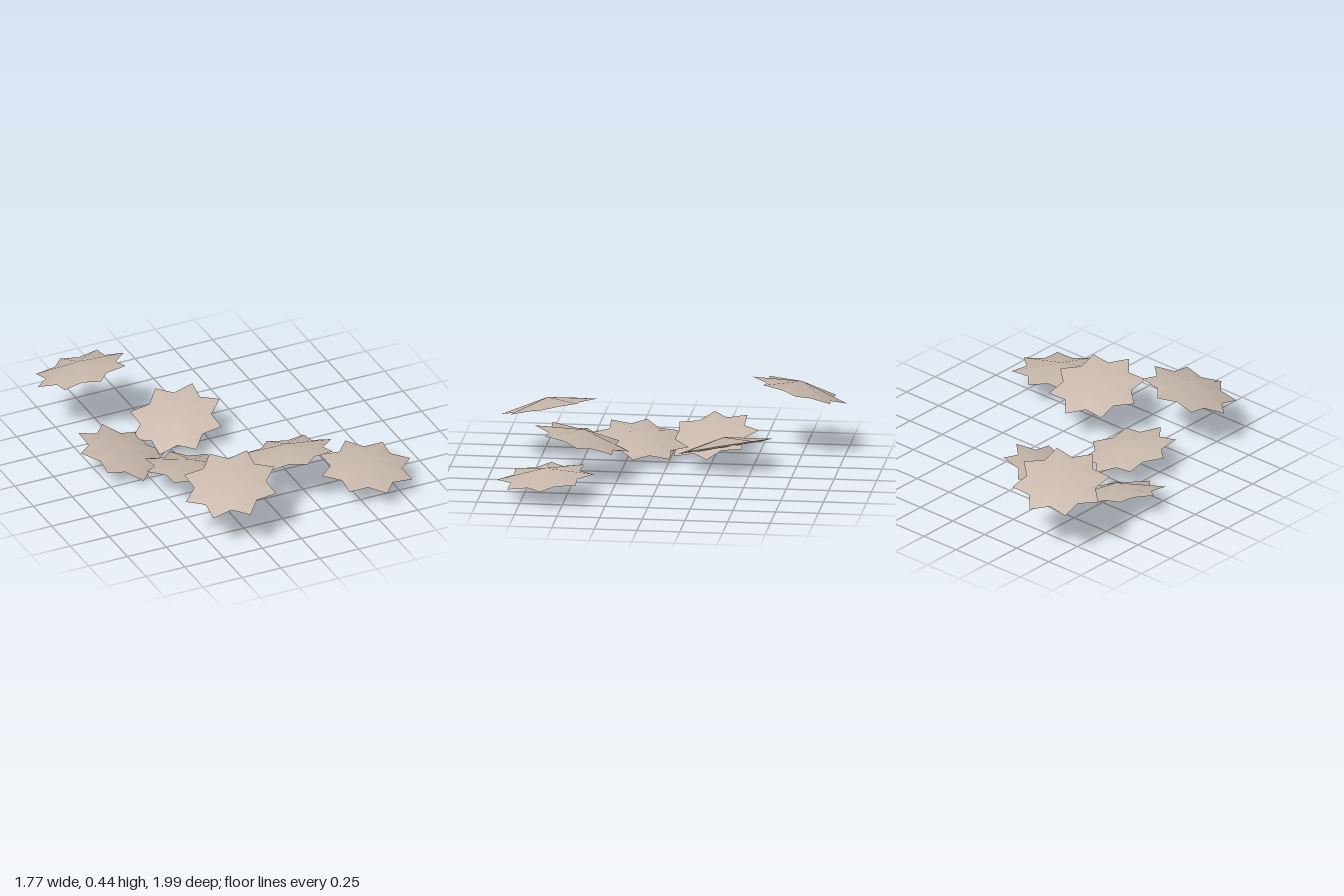
import * as THREE from 'three';
import { mergeVertices } from 'three/addons/utils/BufferGeometryUtils.js';

const TIP = 0.285;    // radius of the points
const NOTCH = 0.21;   // radius between the points
const HEIGHT = 0.055; // rise of the centre above the rim

// Eight-pointed shallow canopy: a cone whose every second rim vertex is pulled in
function starCanopyGeometry() {
  const cone = new THREE.ConeGeometry(TIP, HEIGHT, 16, 1, true);
  cone.translate(0, HEIGHT / 2, 0);
  const pos = cone.attributes.position;
  for (let i = 0; i < pos.count; i++) {
    if (pos.getY(i) > HEIGHT / 2) continue;
    const step = Math.round(Math.atan2(pos.getX(i), pos.getZ(i)) / (Math.PI / 8));
    const k = Math.abs(step) % 2 === 1 ? NOTCH / TIP : 1;
    pos.setX(i, pos.getX(i) * k);
    pos.setZ(i, pos.getZ(i) * k);
  }
  // weld so the normals run smoothly over the pleats
  cone.deleteAttribute('uv');
  cone.deleteAttribute('normal');
  const welded = mergeVertices(cone, 1e-4);
  welded.computeVertexNormals();
  return welded;
}

// Rim centre x, y, z, then the rise of the rim per unit along x and along z
const CANOPIES = [
  [-0.60, 0.37, -0.725, 0.14, 0.26],
  [-0.575, 0.085, -0.205, -0.26, -0.14],
  [-0.17, 0.135, -0.34, 0.27, -0.20],
  [-0.32, 0.118, 0.175, -0.17, 0.13],
  [-0.32, 0.30, 0.71, 0.19, -0.20],
  [0.17, 0.25, 0.455, 0.06, 0.25],
  [0.60, 0.13, 0.617, -0.045, -0.09],
];

export function createModel() {
  const group = new THREE.Group();
  group.name = 'starCanopies';
  const material = new THREE.MeshStandardMaterial({ color: 0xc8b8ab, side: THREE.DoubleSide });
  material.name = 'warm beige';
  const geometry = starCanopyGeometry();

  CANOPIES.forEach(([x, y, z, riseX, riseZ], i) => {
    const canopy = new THREE.Mesh(geometry, material);
    canopy.name = `starCanopy${i + 1}`;
    canopy.position.set(x, y, z);
    canopy.rotation.set(-Math.atan(riseZ), 0, Math.atan(riseX));
    group.add(canopy);
  });
  return group;
}
